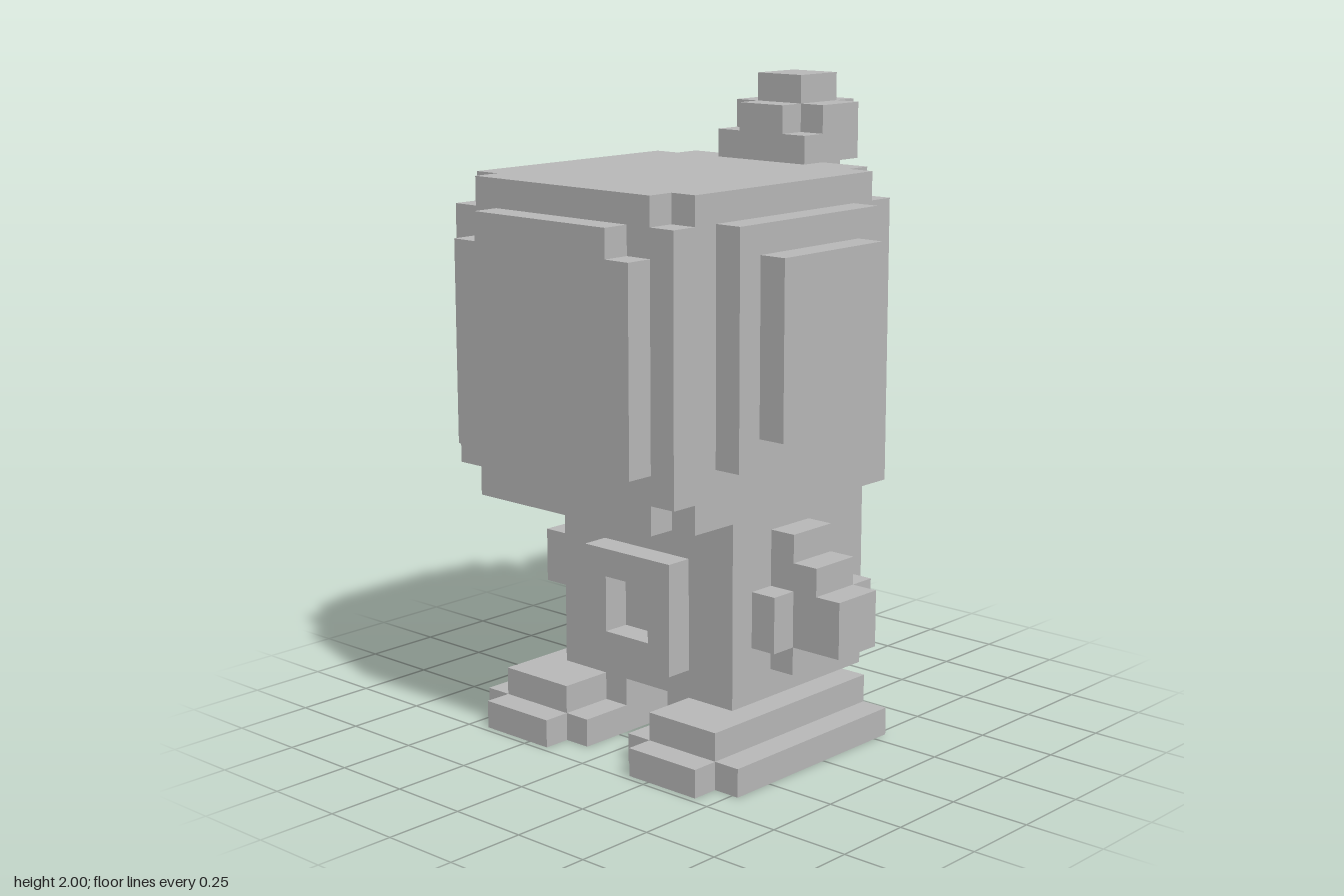
import * as THREE from 'three';
import { mergeGeometries } from 'three/addons/utils/BufferGeometryUtils.js';

const U = 2 / 23; // one block

const grey = new THREE.MeshStandardMaterial({ color: 0xb8b8b8 });
grey.name = 'grey';

// Box from block ranges [x0, x1, y0, y1, z0, z1]
function block([x0, x1, y0, y1, z0, z1]) {
  const g = new THREE.BoxGeometry((x1 - x0) * U, (y1 - y0) * U, (z1 - z0) * U);
  return g.translate((x0 + x1) / 2 * U, (y0 + y1) / 2 * U, (z0 + z1) / 2 * U);
}

function part(name, blocks) {
  const mesh = new THREE.Mesh(mergeGeometries(blocks.map(block)), grey);
  mesh.name = name;
  return mesh;
}

// The same blocks on the left (+x) and the right (-x)
function pair(group, name, blocks) {
  group.add(part('left' + name, blocks));
  group.add(part('right' + name, blocks.map(([a, b, ...r]) => [-b, -a, ...r])));
}

export function createModel() {
  const model = new THREE.Group();
  model.name = 'blockFigure';

  // Head with notched corners, in three layers
  model.add(part('head', [
    [-5, 5, 9, 10, -4.5, 5.5], [-4, 4, 9, 10, 5.5, 6.5],
    [-5, 5, 10, 19, -4.5, 6.5],
    [-5, 5, 19, 20, -3.5, 5.5], [-4, 4, 19, 20, 5.5, 6.5], [-4, 4, 19, 20, -4.5, -3.5],
  ]));
  model.add(part('face', [[-4, 4, 11, 18, 6.5, 7.5], [-3, 3, 18, 19, 6.5, 7.5]]));
  model.add(part('backOfHead', [[-4, 4, 10, 18, -5.5, -4.5], [-3, 3, 12, 17, -6.5, -5.5]]));
  pair(model, 'HeadSide', [[5, 6, 11, 19, -2.5, 4.5], [6, 7, 12, 18, -1.5, 3.5]]);

  // Tuft on the rear of the head
  model.add(part('tuft', [
    [-2, 2, 20, 22, -6.5, -4.5],
    [-1, 1, 22, 23, -6.5, -4.5],
    [-1, 1, 20, 22, -7.5, -6.5],
    [-1, 1, 21, 22, -4.5, -3.5],
    [-2, 2, 20, 21, -4.5, -3.5],
    [-2, 2, 19, 20, -5.5, -4.5],
    [-1, 1, 19, 20, -6.5, -5.5],
  ]));

  // Body and the square frame on the belly
  model.add(part('body', [[-4, 4, 2, 9, -4.5, 2.5]]));
  model.add(part('bellyFrame', [
    [-2, 2, 3, 4, 2.5, 3.5], [-2, 2, 6, 7, 2.5, 3.5],
    [-2, -1, 4, 6, 2.5, 3.5], [1, 2, 4, 6, 2.5, 3.5],
  ]));

  // Stepped arms with a front and a rear nub
  pair(model, 'Arm', [
    [4, 5, 3, 8, -1.5, 0.5],
    [5, 6, 4, 7, -1.5, 0.5],
    [6, 7, 4, 6, -1.5, 0.5],
    [4, 5, 4, 6, 0.5, 1.5],
    [4, 6, 4, 6, -2.5, -1.5],
  ]);

  // Feet: sole, toe and instep
  pair(model, 'Foot', [
    [1, 6, 0, 1, -3.5, 4.5],
    [2, 5, 0, 1, 4.5, 5.5],
    [2, 5, 1, 2, -3.5, 4.5],
    [1, 2, 1, 2, -3.5, 2.5],
  ]);

  return model;
}
